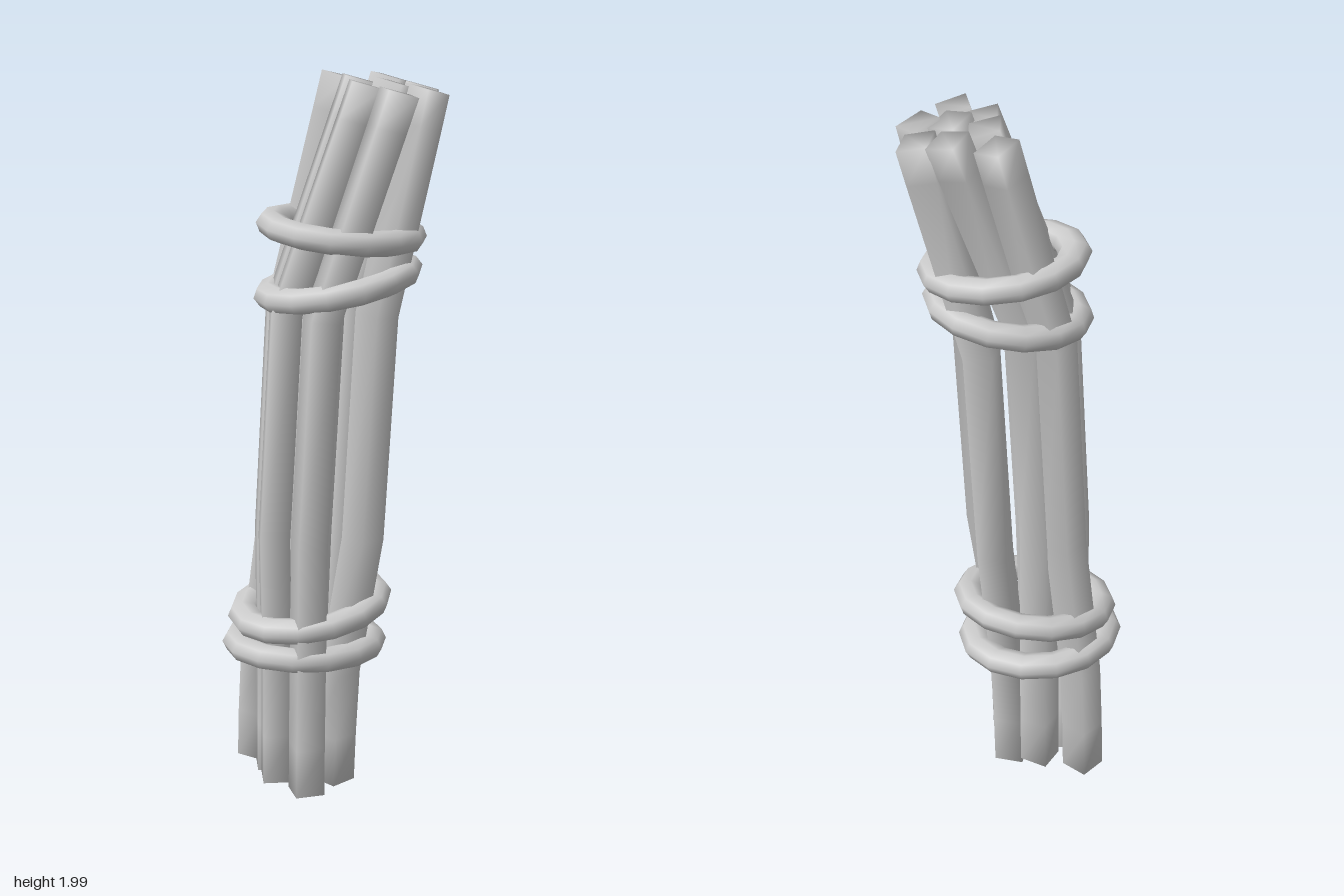
import * as THREE from 'three';

const material = new THREE.MeshStandardMaterial({ color: 0xcccccc });

// Centre line of the bundle: [y, x, z, spread in x, spread in z, tilt of the section, share of bulge]
const SPINE = [
  [0.02, -0.085, -0.045, 1, 1, 0, 0],
  [0.16, -0.084, -0.04, 1.02, 0.99, 0, 0.04],
  [0.35, -0.082, -0.032, 1.05, 0.97, 0, 0.15],
  [0.75, -0.075, 0, 1.3, 0.88, 0.04, 1],
  [1.38, -0.045, 0.022, 1.3, 0.88, 0.15, 1],
  [1.88, 0.115, 0.037, 1.05, 0.98, 0.28, 0.16],
  [1.975, 0.145, 0.04, 1, 1, 0.3, 0],
];

// Sticks: [x, z from the centre line, turn in degrees, lift, bulge in x, bulge in z]
const STICKS = [
  [-0.083, -0.135, 54, 0, 0.055, 0.015],
  [0.03, -0.075, 42, 0, -0.03, 0.015],
  [-0.075, -0.03, 14, 0.005, 0, 0],
  [0.1, -0.02, 27, -0.02, 0.01, -0.055],
  [-0.085, 0.05, 14, 0, 0, 0],
  [0, 0.04, 48, 0, 0, 0],
  [0.075, 0.08, -25, -0.015, 0.03, 0.025],
  [-0.03, 0.147, 3, -0.01, 0, 0],
];

// Rope rings: [x, y, z, tilt about x, tilt about z]
const RINGS = [
  [0.015, 1.585, 0.028, 0.05, -0.1],
  [0.003, 1.445, 0.034, -0.03, 0.17],
  [-0.06, 0.52, -0.024, 0.07, 0.14],
  [-0.073, 0.41, -0.033, 0, -0.03],
];

// Square stick swept along the spine, with shared vertices for soft shading
function stickGeometry([ox, oz, turn, lift, bulgeX, bulgeZ]) {
  const positions = [], index = [], radius = 0.057;
  for (const [y, x, z, sx, sz, tilt, bulge] of SPINE) {
    const cx = x + ox * sx + bulgeX * bulge;
    const cz = z + oz * sz + bulgeZ * bulge;
    for (let j = 0; j < 4; j++) {
      const a = THREE.MathUtils.degToRad(turn + 45 + j * 90);
      const px = radius * Math.cos(a), pz = radius * Math.sin(a);
      positions.push(cx + px, y + lift - px * tilt, cz + pz);
    }
  }
  for (let i = 0; i < SPINE.length - 1; i++) {
    for (let j = 0; j < 4; j++) {
      const a = i * 4 + j, b = i * 4 + (j + 1) % 4;
      index.push(a, a + 4, b, b, a + 4, b + 4);
    }
  }
  const t = (SPINE.length - 1) * 4;
  index.push(0, 1, 2, 0, 2, 3, t, t + 2, t + 1, t, t + 3, t + 2);
  const geometry = new THREE.BufferGeometry();
  geometry.setAttribute('position', new THREE.Float32BufferAttribute(positions, 3));
  geometry.setIndex(index);
  geometry.computeVertexNormals();
  return geometry;
}

export function createModel() {
  const model = new THREE.Group();
  model.name = 'stickBundle';

  const sticks = new THREE.Group();
  sticks.name = 'sticks';
  STICKS.forEach((stick, i) => {
    const mesh = new THREE.Mesh(stickGeometry(stick), material);
    mesh.name = `stick${i + 1}`;
    sticks.add(mesh);
  });

  // Slightly oval, flattened rope loops tied around both ends
  const ropes = new THREE.Group();
  ropes.name = 'ropeRings';
  const ringGeometry = new THREE.TorusGeometry(0.184, 0.044, 8, 14)
    .rotateX(Math.PI / 2).rotateY(Math.PI / 2).scale(1.02, 0.8, 0.92);
  RINGS.forEach(([x, y, z, rx, rz], i) => {
    const mesh = new THREE.Mesh(ringGeometry, material);
    mesh.name = `ropeRing${i + 1}`;
    mesh.position.set(x, y, z);
    mesh.rotation.set(rx, 0, rz);
    ropes.add(mesh);
  });

  model.add(sticks, ropes);
  return model;
}
